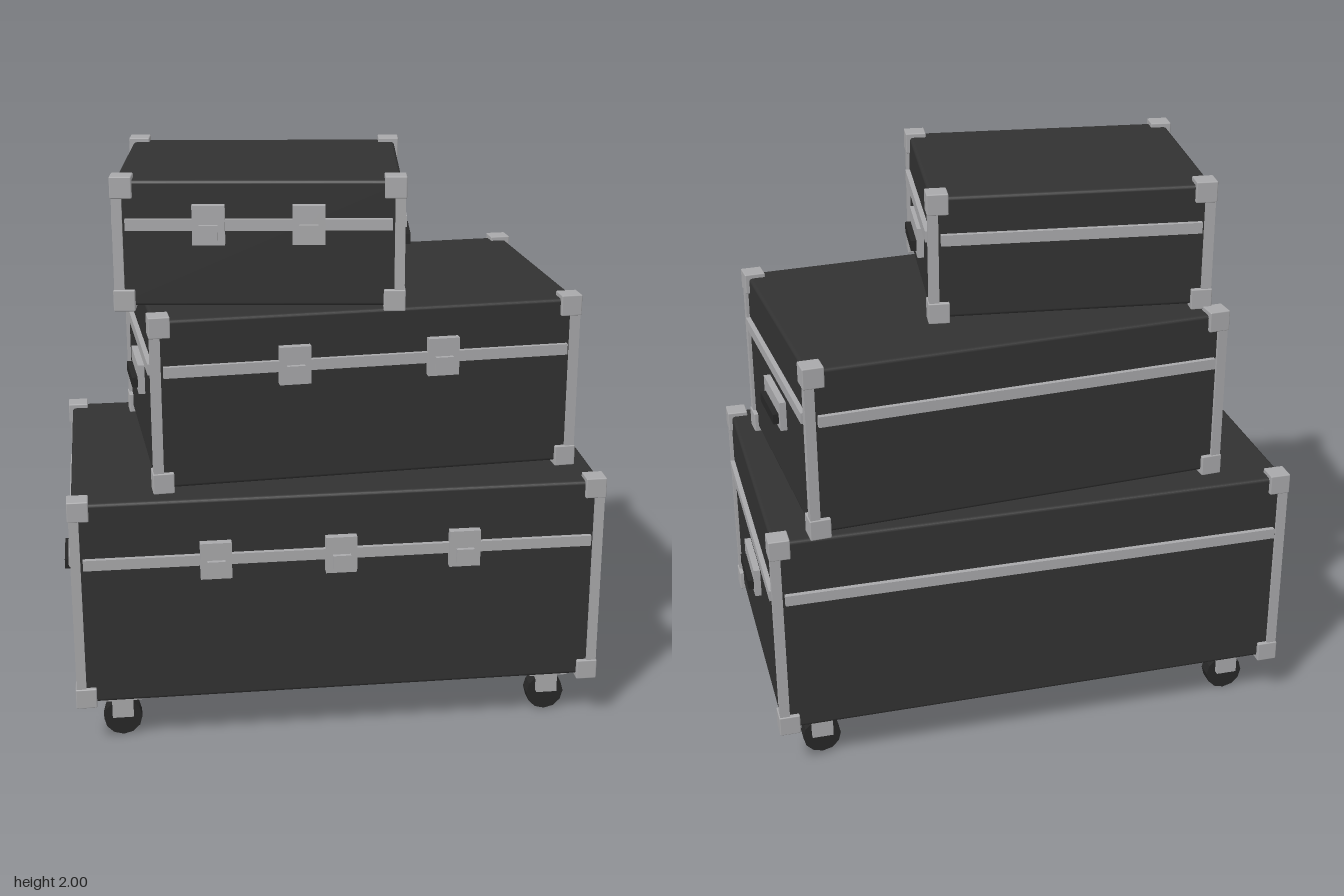
import * as THREE from 'three';
import { RoundedBoxGeometry } from 'three/addons/geometries/RoundedBoxGeometry.js';

const shell = new THREE.MeshStandardMaterial({ name: 'charcoal shell', color: 0x323232 });
const metal = new THREE.MeshStandardMaterial({ name: 'grey metal', color: 0xa9a9ab });
const rubber = new THREE.MeshStandardMaterial({ name: 'black rubber', color: 0x272727 });

const CORNER = 0.073; // corner block size
const LIP = 0.015;    // how far corner blocks stand out from the shell

function add(parent, name, geometry, material, x, y, z) {
  const mesh = new THREE.Mesh(geometry, material);
  mesh.name = name;
  mesh.position.set(x, y, z);
  parent.add(mesh);
  return mesh;
}

function box(parent, name, material, w, h, d, x, y, z) {
  return add(parent, name, new THREE.BoxGeometry(w, h, d), material, x, y, z);
}

// Latch with a small raised catch; z is the shell's front face
function makeLatch(parent, x, y, z) {
  const latch = new THREE.Group();
  latch.name = 'latch';
  latch.position.set(x, y, z);
  box(latch, 'latchPlate', metal, 0.108, 0.132, 0.03, 0, 0, 0.013);
  box(latch, 'latchCatch', metal, 0.062, 0.05, 0.018, 0, -0.022, 0.034);
  parent.add(latch);
}

// Side handle: metal plate with a dark grip
function makeHandle(parent, side, x, y) {
  const handle = new THREE.Group();
  handle.name = 'handle';
  handle.position.set(side * x, y, 0);
  box(handle, 'handlePlate', metal, 0.03, 0.105, 0.243, side * 0.008, 0, 0);
  box(handle, 'handleGrip', rubber, 0.04, 0.036, 0.2, side * 0.023, -0.016, 0);
  parent.add(handle);
}

// Case sized by the outside of its corner blocks, from y = bottom to y = top
function makeCase({ name, w, d, bottom, top, x, z, turn, bandY, latchY, latches, handleY }) {
  const group = new THREE.Group();
  group.name = name;
  group.position.set(x, 0, z);
  group.rotation.y = turn;
  const h = top - bottom, midY = (top + bottom) / 2;
  const bw = w - 2 * LIP, bh = h - 2 * LIP, bd = d - 2 * LIP;

  add(group, 'shell', new RoundedBoxGeometry(bw, bh, bd, 2, 0.012), shell, 0, midY, 0);

  for (const sx of [-1, 1]) {
    for (const sz of [-1, 1]) {
      // Vertical edge post
      box(group, 'edgePost', metal, 0.034, h - CORNER, 0.034,
        sx * (w / 2 - 0.021), midY, sz * (d / 2 - 0.021));
      // Corner blocks
      for (const y of [bottom + CORNER / 2, top - CORNER / 2]) {
        add(group, 'cornerBlock', new RoundedBoxGeometry(CORNER, CORNER, CORNER, 1, 0.004), metal,
          sx * (w - CORNER) / 2, y, sz * (d - CORNER) / 2);
      }
    }
  }

  // Lid band on all four sides
  for (const s of [-1, 1]) {
    box(group, 'lidBand', metal, w - 0.093, 0.038, 0.03, 0, bandY, s * (d / 2 - 0.013));
    box(group, 'lidBand', metal, 0.03, 0.038, d - 0.093, s * (w / 2 - 0.013), bandY, 0);
    makeHandle(group, s, bw / 2, handleY);
  }

  for (const lx of latches) makeLatch(group, lx, latchY, bd / 2);
  return group;
}

function makeCaster(parent, x, z) {
  const caster = new THREE.Group();
  caster.name = 'caster';
  caster.position.set(x, 0, z);
  box(caster, 'casterPlate', metal, 0.135, 0.026, 0.135, 0, 0.168, 0);
  box(caster, 'forkBridge', metal, 0.075, 0.035, 0.105, 0, 0.14, 0);
  for (const s of [-1, 1]) box(caster, 'forkCheek', metal, 0.075, 0.06, 0.02, 0, 0.11, s * 0.0425);
  const tyre = new THREE.CylinderGeometry(0.068, 0.068, 0.054, 12).toNonIndexed();
  tyre.rotateX(Math.PI / 2);
  tyre.computeVertexNormals();
  add(caster, 'wheel', tyre, rubber, 0, 0.068, 0);
  parent.add(caster);
}

export function createModel() {
  const model = new THREE.Group();
  model.name = 'stackedCases';

  const largeCase = makeCase({
    name: 'largeCase', w: 1.86, d: 1.088, bottom: 0.165, top: 0.94, x: 0, z: -0.01, turn: 0,
    bandY: 0.708, latchY: 0.707, latches: [-0.432, 0, 0.432], handleY: 0.538,
  });
  for (const x of [-0.769, 0.769]) for (const z of [-0.415, 0.415]) makeCaster(largeCase, x, z);

  const mediumCase = makeCase({
    name: 'mediumCase', w: 1.494, d: 0.938, bottom: 0.932, top: 1.555, x: 0.077, z: -0.045, turn: 0.07,
    bandY: 1.363, latchY: 1.366, latches: [-0.257, 0.257], handleY: 1.231,
  });

  const smallCase = makeCase({
    name: 'smallCase', w: 0.974, d: 0.757, bottom: 1.545, top: 2, x: -0.215, z: 0.028, turn: -0.12,
    bandY: 1.84, latchY: 1.841, latches: [-0.165, 0.165], handleY: 1.74,
  });

  model.add(largeCase, mediumCase, smallCase);
  return model;
}
